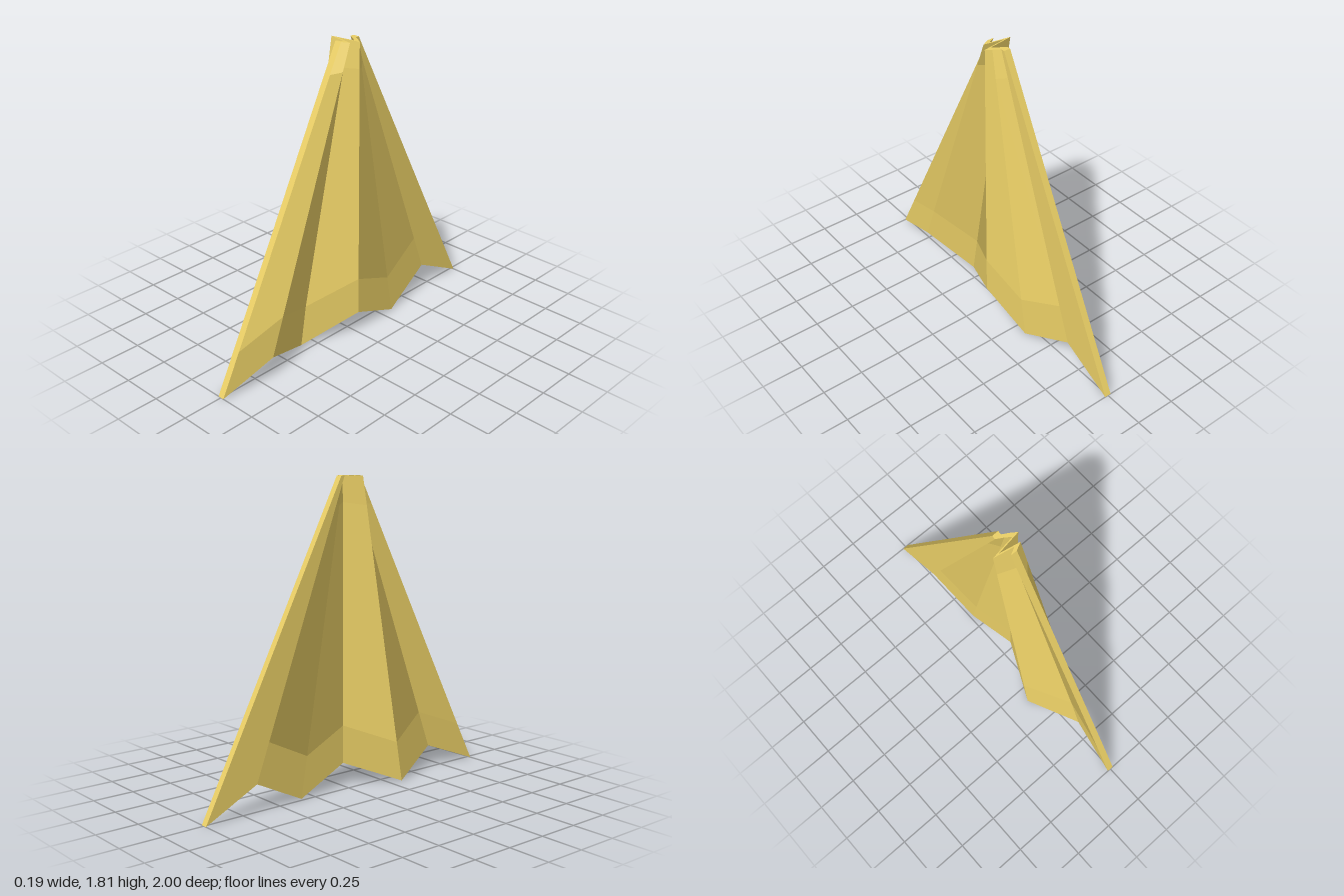
import * as THREE from 'three';

// Fold columns from the front hem corner (+z) to the back one (-z)
const foldX = [0, 0.045, -0.075, 0.072, 0.04, 0, 0];
const hemY = [0, 0.13, 0, 0.14, 0, 0.165, 0];
// Row positions from collar (0) to hem (1)
const rows = [0, 0.09, 0.865, 1];
const TOP_Y = 1.81, TOP_HALF = 0.07, THICKNESS = 0.04;

// Both sides of the cloth must split their twisted panels along the same
// diagonal, so the +x side (the first group) is split the other way
function matchDiagonals(box) {
  const { start, count } = box.groups[0];
  const index = box.index;
  for (let i = start; i < start + count; i += 6) {
    const [a, b, d, , c] = index.array.slice(i, i + 6);
    index.array.set([a, b, c, a, c, d], i);
  }
}

// One flat normal for each four-sided panel
function panelNormals(geometry) {
  geometry.computeVertexNormals();
  const normals = geometry.attributes.normal;
  const v = new THREE.Vector3();
  for (let i = 0; i < normals.count; i += 6) {
    const sum = new THREE.Vector3();
    for (let k = i; k < i + 6; k++) sum.add(v.fromBufferAttribute(normals, k));
    sum.normalize();
    for (let k = i; k < i + 6; k++) normals.setXYZ(k, sum.x, sum.y, sum.z);
  }
}

export function createModel() {
  const group = new THREE.Group();
  group.name = 'cape';

  // A thin slab, its grid points moved so that the pleats fan out downwards
  const slab = new THREE.BoxGeometry(THICKNESS, 1, 1, 1, rows.length - 1, foldX.length - 1);
  matchDiagonals(slab);
  const p = slab.attributes.position;
  for (let i = 0; i < p.count; i++) {
    const col = Math.round((0.5 - p.getZ(i)) * (foldX.length - 1));
    const t = rows[Math.round((0.5 - p.getY(i)) * (rows.length - 1))];
    const across = 1 - col / 3;
    p.setXYZ(
      i,
      p.getX(i) + foldX[col],
      THREE.MathUtils.lerp(TOP_Y, hemY[col], t),
      across * THREE.MathUtils.lerp(TOP_HALF, 1, t)
    );
  }
  const geometry = slab.toNonIndexed();
  panelNormals(geometry);

  const cloth = new THREE.Mesh(
    geometry,
    new THREE.MeshStandardMaterial({ color: 0xeacf66, side: THREE.DoubleSide })
  );
  cloth.name = 'pleatedCloth';
  group.add(cloth);
  return group;
}
